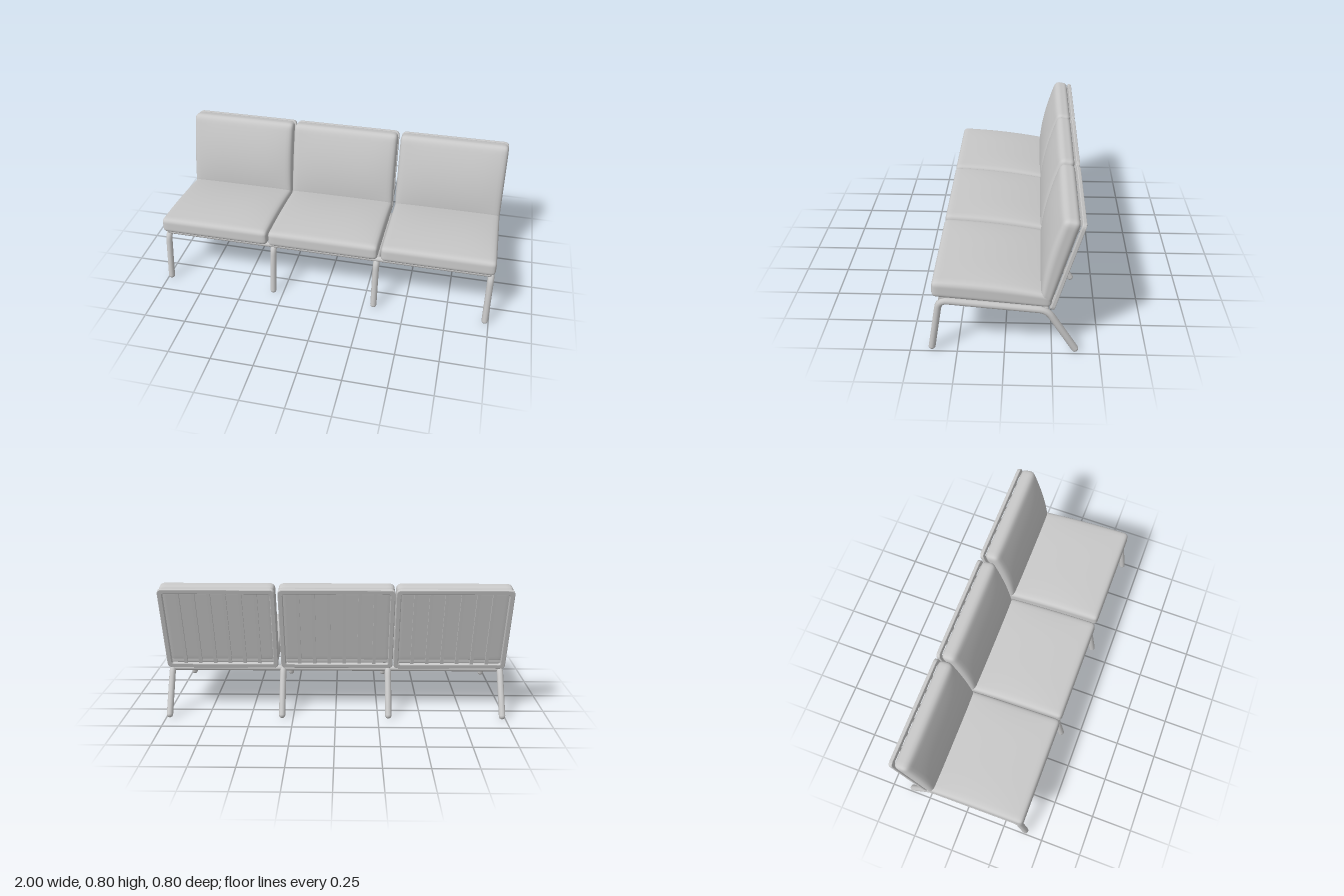
import * as THREE from 'three';
import { mergeVertices } from 'three/addons/utils/BufferGeometryUtils.js';

// Cushion: rounded box warped so its side outline fits four [z, y] corners
// (front bottom, front top, back top, back bottom), with a soft crown on one face.
function cushionGeometry(width, height, depth, r, corners, crown) {
  const g = new THREE.BoxGeometry(2, 2, 2, 24, 24, 24);
  g.deleteAttribute('uv');
  g.deleteAttribute('normal');
  const half = new THREE.Vector3(width / 2, height / 2, depth / 2);
  const limit = half.clone().subScalar(r);
  const p = new THREE.Vector3(), inner = new THREE.Vector3();
  const [fb, ft, bt, bb] = corners;
  const pos = g.attributes.position;
  const ease = (t) => Math.sin(t * Math.PI / 2); // finer grid near the edges
  for (let i = 0; i < pos.count; i++) {
    p.set(ease(pos.getX(i)), ease(pos.getY(i)), ease(pos.getZ(i))).multiply(half);
    inner.copy(p).clamp(limit.clone().negate(), limit);
    p.sub(inner).setLength(r).add(inner);
    const u = p.x / half.x, v = p.y / half.y, w = p.z / half.z;
    const a = (v + 1) / 2, b = (w + 1) / 2;
    const mix = (k) => (fb[k] * (1 - a) + ft[k] * a) * b + (bb[k] * (1 - a) + bt[k] * a) * (1 - b);
    const across = 0.45 + 0.55 * (1 - u ** 4);
    const up = crown.y * across * (1 - w * w) * a;
    const out = crown.z * across * (1 - v * v) * b;
    pos.setXYZ(i, p.x, mix(1) + up, mix(0) + out);
  }
  const merged = mergeVertices(g, 1e-5);
  merged.computeVertexNormals();
  return merged;
}

// Rounded rectangle outline centred on the origin
function roundedRect(Type, w, h, r) {
  const s = new Type(), x = w / 2, y = h / 2;
  s.moveTo(-x + r, -y);
  s.lineTo(x - r, -y).quadraticCurveTo(x, -y, x, -y + r);
  s.lineTo(x, y - r).quadraticCurveTo(x, y, x - r, y);
  s.lineTo(-x + r, y).quadraticCurveTo(-x, y, -x, y - r);
  s.lineTo(-x, -y + r).quadraticCurveTo(-x, -y, -x + r, -y);
  return s;
}

// Path of straight runs joined by short rounded bends
function bentPath(points, bend) {
  const path = new THREE.CurvePath();
  let start = points[0];
  for (let i = 1; i < points.length - 1; i++) {
    const c = points[i];
    const before = c.clone().add(points[i - 1].clone().sub(c).setLength(bend));
    const after = c.clone().add(points[i + 1].clone().sub(c).setLength(bend));
    path.add(new THREE.LineCurve3(start, before));
    path.add(new THREE.QuadraticBezierCurve3(before, c, after));
    start = after;
  }
  path.add(new THREE.LineCurve3(start, points[points.length - 1]));
  return path;
}

export function createModel() {
  const model = new THREE.Group();
  model.name = 'threeSeatSofa';
  const grey = new THREE.MeshStandardMaterial({ color: 0xc8c8c8 });
  grey.name = 'lightGrey';

  const add = (parent, name, geometry, x = 0, y = 0, z = 0) => {
    const mesh = new THREE.Mesh(geometry, grey);
    mesh.name = name;
    mesh.position.set(x, y, z);
    parent.add(mesh);
    return mesh;
  };

  // Three sections: cushions plus a slatted back frame
  const W = 0.658;
  const seat = cushionGeometry(W, 0.09, 0.61, 0.026,
    [[0.375, 0.342], [0.37, 0.437], [-0.25, 0.365], [-0.24, 0.288]], { y: 0.025, z: 0 });
  const back = cushionGeometry(W, 0.48, 0.085, 0.03,
    [[-0.185, 0.345], [-0.293, 0.808], [-0.378, 0.792], [-0.238, 0.298]], { y: 0, z: 0.03 });

  const frameShape = roundedRect(THREE.Shape, W - 0.006, 0.525, 0.025);
  frameShape.holes.push(roundedRect(THREE.Path, W - 0.046, 0.485, 0.016));
  const frame = new THREE.ExtrudeGeometry(frameShape, {
    depth: 0.014, bevelEnabled: true, bevelSize: 0.004, bevelThickness: 0.004, bevelSegments: 2, curveSegments: 5,
  });
  const slat = new THREE.BoxGeometry(0.02, 0.5, 0.012);

  [-0.671, -0.006, 0.671].forEach((x, i) => {
    const section = new THREE.Group();
    section.name = 'section' + (i + 1);
    section.position.x = x;
    model.add(section);
    add(section, 'seatCushion', seat);
    add(section, 'backCushion', back);

    const rest = new THREE.Group();
    rest.name = 'backFrame';
    rest.position.set(0, 0.53, -0.318);
    rest.rotation.x = -Math.atan(0.29);
    section.add(rest);
    add(rest, 'backFrameRim', frame, 0, 0, -0.007);
    for (let s = 0; s < 6; s++) add(rest, 'backSlat', slat, (s - 2.5) * 0.088, 0, 0.003);
  });

  // Bent tube leg frames with rounded feet
  const points = [[0.018, 0.385], [0.315, 0.337], [0.264, -0.222], [0.02, -0.372]]
    .map(([y, z]) => new THREE.Vector3(0, y, z));
  const legTube = new THREE.TubeGeometry(bentPath(points, 0.045), 64, 0.019, 10, false);
  const foot = new THREE.SphereGeometry(0.019, 10, 8);
  [-0.979, -0.311, 0.315, 0.979].forEach((x) => {
    const leg = new THREE.Group();
    leg.name = 'legFrame';
    leg.position.x = x;
    model.add(leg);
    add(leg, 'legTube', legTube);
    add(leg, 'frontFoot', foot, 0, 0.019, 0.385);
    add(leg, 'backFoot', foot, 0, 0.02, -0.372);
  });

  // Long rails under the front and back of the seat
  const rail = new THREE.CylinderGeometry(0.016, 0.016, 1.96, 12).rotateZ(Math.PI / 2);
  add(model, 'frontRail', rail, 0, 0.322, 0.325);
  add(model, 'backRail', rail, 0, 0.258, -0.215);

  return model;
}
